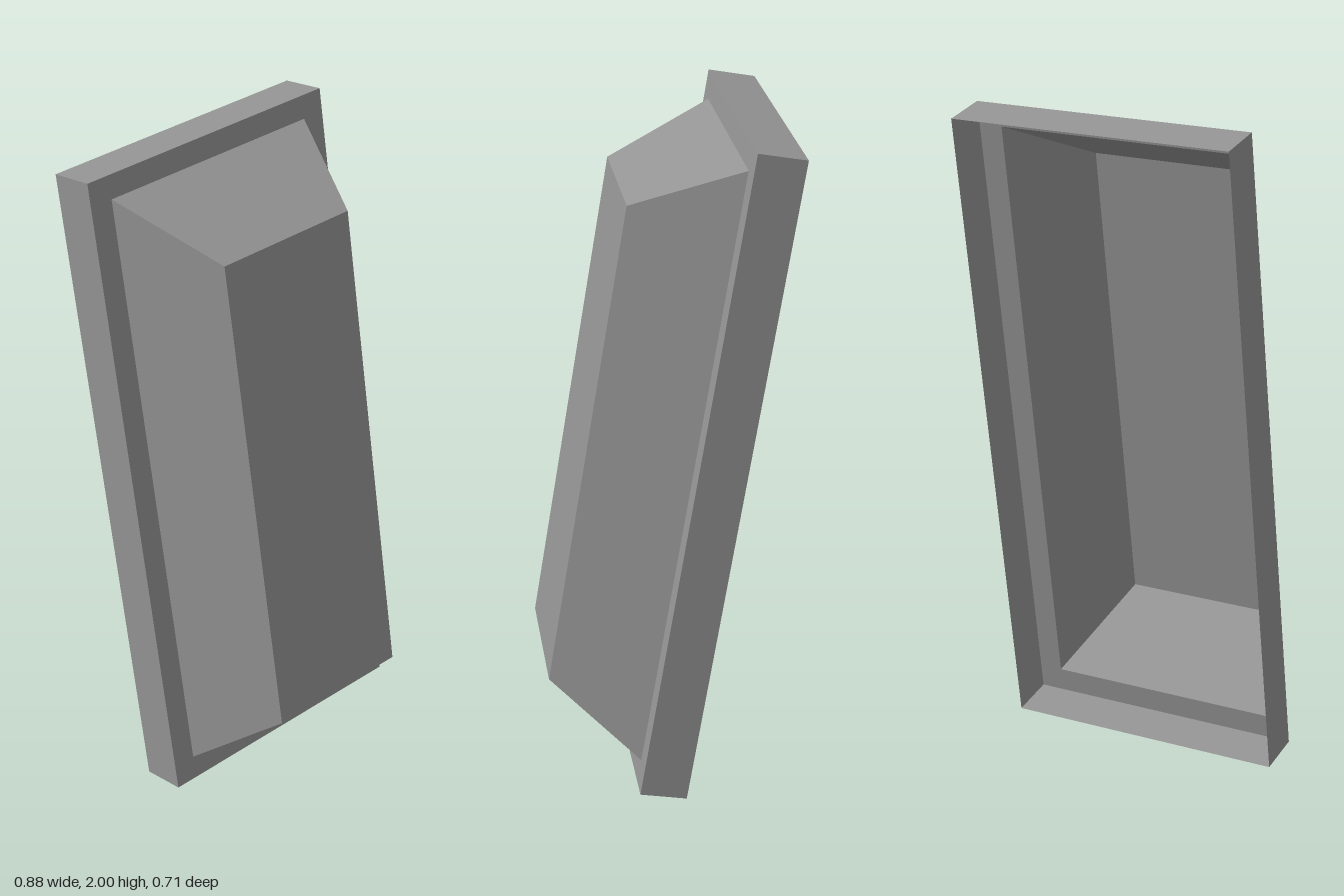
import * as THREE from 'three';

// Rectangular ring, counter-clockwise from the front: half width, bottom [y, z], top [y, z]
const ring = (w, [y0, z0], [y1, z1]) => [[-w, y0, z0], [w, y0, z0], [w, y1, z1], [-w, y1, z1]];

// Flat-shaded sheet made of four-cornered faces
function sheet(name, quads, material) {
  const points = quads.flatMap(([a, b, c, d]) => [a, b, c, a, c, d]).flat();
  const geometry = new THREE.BufferGeometry();
  geometry.setAttribute('position', new THREE.Float32BufferAttribute(points, 3));
  geometry.computeVertexNormals();
  const mesh = new THREE.Mesh(geometry, material);
  mesh.name = name;
  return mesh;
}

// Four faces joining one ring to the next
const band = (a, b) => a.map((p, i) => {
  const j = (i + 1) % 4;
  return [p, a[j], b[j], b[i]];
});

export function createModel() {
  const grey = new THREE.MeshStandardMaterial({ color: 0x949494, side: THREE.DoubleSide });
  grey.name = 'grey';

  // Leaning cross-sections from the open back to the raised front
  const backRim = ring(0.438, [0, -0.033], [1.975, -0.357]);
  const frontRim = ring(0.438, [0.025, 0.107], [2, -0.217]);
  const bulgeBase = ring(0.365, [0.1, 0.095], [1.93, -0.205]);
  const bulgeFace = ring(0.235, [0.324, 0.357], [1.802, 0.115]);

  const group = new THREE.Group();
  group.name = 'raisedPanel';
  group.add(
    sheet('frameSides', band(backRim, frontRim), grey),
    sheet('frameFront', band(frontRim, bulgeBase), grey),
    sheet('bulgeSides', band(bulgeBase, bulgeFace), grey),
    sheet('bulgeFace', [bulgeFace], grey),
  );
  return group;
}
